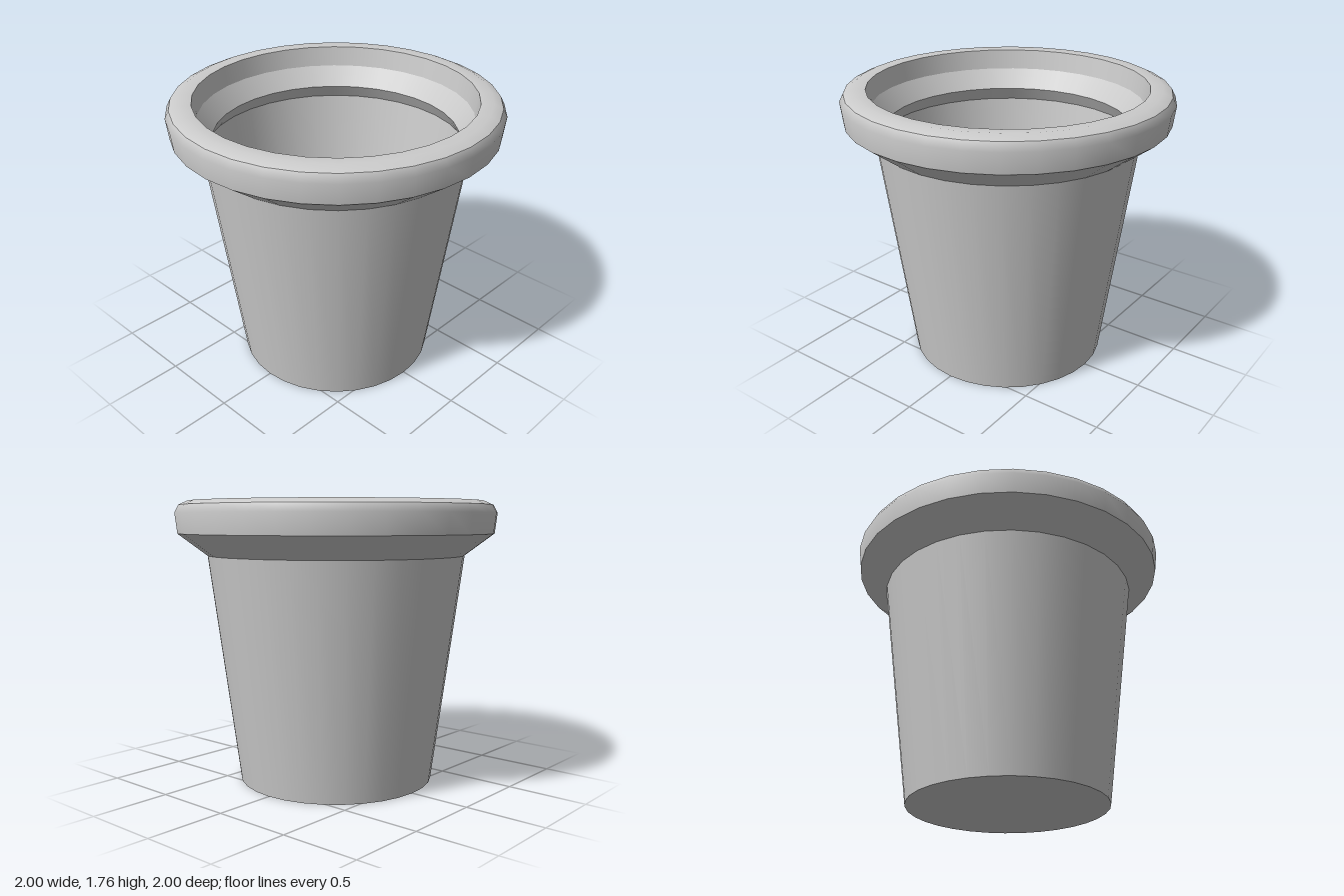
import * as THREE from 'three';

const SIDES = 32;

export function createModel() {
  const group = new THREE.Group();
  group.name = 'pot';
  const material = new THREE.MeshStandardMaterial({ color: 0xcccccc });

  // Each band is a smooth run of [radius, height]; edges between bands stay sharp.
  const addBand = (name, profile) => {
    const points = profile.map(([r, y]) => new THREE.Vector2(r, y));
    const mesh = new THREE.Mesh(new THREE.LatheGeometry(points, SIDES), material);
    mesh.name = name;
    group.add(mesh);
  };

  // Outside, from the centre of the base up to the rim
  addBand('base', [[0, 0], [0.615, 0]]);
  addBand('outerWall', [[0.615, 0], [0.805, 1.43]]);
  addBand('rimUnderside', [[0.805, 1.43], [0.985, 1.565]]);
  addBand('rimSide', [[0.985, 1.565], [1, 1.69], [0.975, 1.738]]);
  addBand('rimTop', [[0.975, 1.738], [0.92, 1.763], [0.845, 1.758]]);

  // Inside, from the rim down to the floor
  addBand('rimInnerWall', [[0.845, 1.758], [0.826, 1.634]]);
  addBand('innerLedge', [[0.826, 1.634], [0.742, 1.515]]);
  addBand('ledgeUnderside', [[0.742, 1.515], [0.79, 1.43]]);
  addBand('innerWall', [[0.79, 1.43], [0.6, 0.01]]);
  addBand('floor', [[0.6, 0.01], [0, 0.01]]);

  return group;
}
